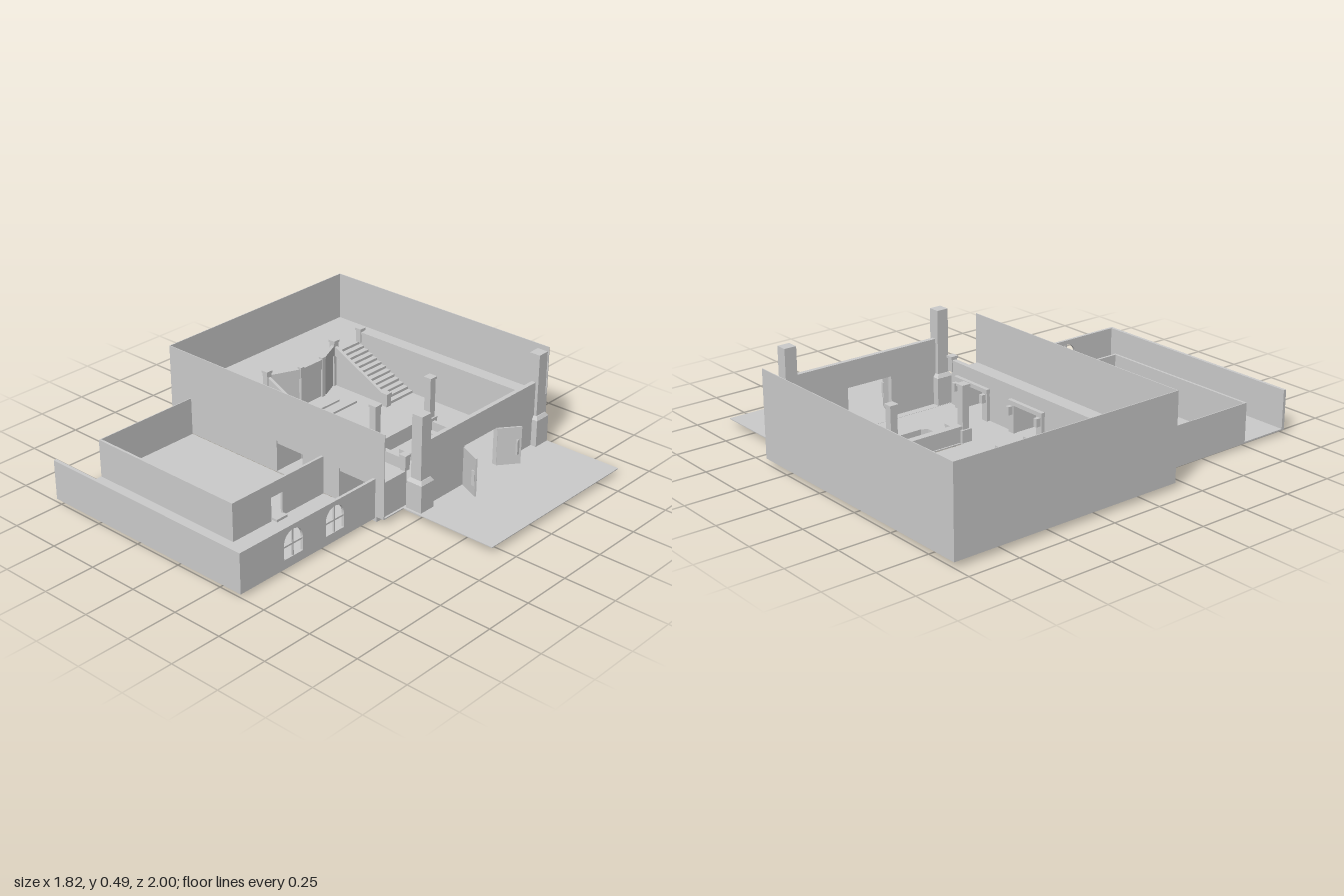
import * as THREE from 'three';

const mat = new THREE.MeshStandardMaterial({ color: 0xcccccc, flatShading: true, side: THREE.DoubleSide });

export function createModel() {
  const root = new THREE.Group();
  const add = (name, geo) => {
    const m = new THREE.Mesh(geo, mat);
    m.name = name;
    root.add(m);
    return m;
  };
  // Box given by its limits on each axis
  const box = (name, x0, x1, y0, y1, z0, z1) => {
    const m = add(name, new THREE.BoxGeometry(x1 - x0, y1 - y0, z1 - z0));
    m.position.set((x0 + x1) / 2, (y0 + y1) / 2, (z0 + z1) / 2);
    return m;
  };
  const poly = (pts, holes = []) => {
    const s = new THREE.Shape(pts.map(p => new THREE.Vector2(...p)));
    s.holes.push(...holes);
    return s;
  };
  const extrude = (shape, depth) => new THREE.ExtrudeGeometry(shape, { depth, bevelEnabled: false, curveSegments: 8 });
  // Slab drawn in plan as [x, z]
  const slab = (name, pts, y0, y1, holes = []) => {
    const flip = a => a.map(([x, z]) => [x, -z]);
    const g = extrude(poly(flip(pts), holes.map(h => poly(flip(h)))), y1 - y0);
    g.rotateX(-Math.PI / 2);
    add(name, g).position.y = y0;
  };
  // Wall facing z, drawn as [x, y]
  const wallZ = (name, shape, z0, z1) => { add(name, extrude(shape, z1 - z0)).position.z = z0; };
  // Wall facing x, drawn as [z, y]
  const wallX = (name, shape, x0, x1) => {
    const g = extrude(shape, x1 - x0);
    g.rotateY(-Math.PI / 2);
    add(name, g).position.x = x1;
  };
  // Wall outline with door notches cut up from the bottom
  const notched = (a0, a1, y0, y1, doors, top) => {
    const pts = [[a0, y0]];
    doors.forEach(([d0, d1]) => pts.push([d0, y0], [d0, top], [d1, top], [d1, y0]));
    pts.push([a1, y0], [a1, y1], [a0, y1]);
    return poly(pts);
  };
  // Upright panel between two plan points; its two ends may differ in height
  const panel = (name, [xa, za], [xb, zb], ya, yb, h, t = 0.016) => {
    const len = Math.hypot(xb - xa, zb - za);
    const g = extrude(poly([[0, ya], [len, yb], [len, yb + h], [0, ya + h]]), t);
    g.translate(0, 0, -t / 2);
    g.rotateY(-Math.atan2(zb - za, xb - xa));
    add(name, g).position.set(xa, 0, za);
  };
  const post = (name, x, z, y0, y1, w = 0.03) => {
    box(name, x - w / 2, x + w / 2, y0, y1, z - w / 2, z + w / 2);
    box(name + 'Cap', x - w * 0.62, x + w * 0.62, y1 - 0.012, y1, z - w * 0.62, z + w * 0.62);
  };

  // Hall floor and tall outer walls
  const F = 0.03, G = 0.2, CZ = -0.415;
  slab('hallFloor', [[-0.91, -1], [0.41, -1], [0.41, -0.84], [0.48, -0.84], [0.48, 0.02], [0.42, 0.02], [0.42, 0.18], [-0.91, 0.18]],
    0.025, F, [[[-0.015, -0.58], [-0.002, -0.58], [-0.002, -0.25], [-0.015, -0.25]]]);
  box('hallBackWall', -0.91, 0.41, 0.025, 0.44, -1, -0.996);
  box('hallSideWall', -0.91, -0.906, 0.025, 0.44, -1, 0.18);
  const doors = [[-0.22, -0.06], [0.16, 0.33]];
  wallZ('hallFrontWall', notched(-0.91, 0.42, 0.025, 0.44, doors, 0.185), 0.176, 0.18);
  box('forecourt', 0.42, 0.91, 0.027, 0.031, -0.88, 0.05);

  // Raised galleries and the landing between the stairs
  wallZ('frontGallery', notched(-0.63, 0.41, F, G, doors, 0.17), 0.02, 0.176);
  box('backGallery', -0.63, 0.41, F, G, -0.996, -0.84);
  const front = [[-0.63, -0.65], [-0.56, -0.49], [-0.56, -0.34], [-0.63, -0.18]];
  slab('landing', [[-0.906, -0.996], [-0.63, -0.996], ...front, [-0.63, 0.176], [-0.906, 0.176]], F, G);
  for (let i = 0; i < 3; i++) panel('landingParapet', front[i], front[i + 1], G, G, 0.05);
  front.slice(1, 3).forEach(([x, z]) => post('landingPost', x, z, F, 0.26, 0.02));
  box('lowerStep', -0.57, -0.41, F, 0.04, CZ - 0.16, CZ + 0.16);
  box('upperStep', -0.57, -0.47, F, 0.05, CZ - 0.1, CZ + 0.1);

  // Parapets, staircases and posts, mirrored about the hall's middle
  for (const s of [-1, 1]) {
    const zo = CZ + s * 0.43, zi = CZ + s * 0.235;
    box('galleryParapet', -0.63, 0.4, G, 0.25, zo - 0.008, zo + 0.008);
    box('galleryHandrail', -0.63, 0.4, 0.245, 0.257, zo - 0.012, zo + 0.012);
    post('galleryPost', -0.63, zo, G, 0.275);
    post('galleryPost', 0.395, zo, G, 0.275);
    post('stairTopPost', -0.63, zi, F, 0.275);
    post('stairFootPost', -0.285, zi, F, 0.1);
    panel('stairRail', [-0.63, zi], [-0.285, zi], G, F, 0.05);
    const n = 12, run = 0.35 / n, pts = [[-0.63, F], [-0.63, G]];
    for (let i = 0; i < n; i++) {
      const y = G - (i + 1) * (G - F) / (n + 1);
      pts.push([-0.63 + i * run, y], [-0.63 + (i + 1) * run, y]);
    }
    pts.push([-0.28, F]);
    wallZ('staircase', poly(pts), Math.min(zo, zi), Math.max(zo, zi));
  }

  // Door surrounds on the front gallery
  doors.forEach(([a, b]) => {
    for (const x of [a - 0.015, b + 0.015]) {
      box('doorPilaster', x - 0.018, x + 0.018, F, 0.17, 0.003, 0.02);
      box('doorBracket', x - 0.01, x + 0.01, 0.12, 0.16, -0.02, 0.003);
    }
    box('doorLintel', a - 0.035, b + 0.035, 0.165, 0.185, 0, 0.02);
  });

  // Passage threshold below the second doorway
  box('passageStep', 0.12, 0.38, 0, 0.028, 0.02, 0.18);

  // Central screen with tall posts and side arms
  box('screenWall', 0.005, 0.03, F, 0.1, -0.6, -0.23);
  box('screenCap', 0, 0.035, 0.095, 0.108, -0.6, -0.23);
  for (const s of [-1, 1]) {
    const z = CZ + s * 0.195;
    post('screenPost', 0.017, z, F, 0.3, 0.036);
    box('screenBase', -0.01, 0.044, F, 0.09, z - 0.027, z + 0.027);
    box('screenArm', 0.04, 0.14, F, 0.075, z - 0.01, z + 0.01);
  }
  // Curved bench
  slab('bench', [[0.1, -0.535], [0.16, -0.535], [0.185, -0.5], [0.185, -0.33], [0.16, -0.295], [0.1, -0.295],
    [0.1, -0.318], [0.145, -0.32], [0.163, -0.345], [0.163, -0.485], [0.145, -0.51], [0.1, -0.512]], F, 0.07);

  // Entrance wall, open double doors and gate pillars
  wallX('entranceWall', notched(-0.83, 0, F, 0.35, [[-0.53, -0.29]], 0.225), 0.458, 0.48);
  [[[0.48, -0.53], [0.55, -0.62]], [[0.48, -0.29], [0.59, -0.24]]].forEach(([a, b]) => {
    panel('entranceDoor', a, b, F, F, 0.19, 0.008);
    const k = 0.85;
    const x = a[0] + (b[0] - a[0]) * k, z = a[1] + (b[1] - a[1]) * k;
    box('doorHandle', x - 0.008, x + 0.008, 0.08, 0.155, z - 0.01, z + 0.01);
  });
  for (const z of [-0.835, -0.005]) {
    const pillar = add('gatePillar', new THREE.BoxGeometry(0.056, 0.32, 0.06));
    pillar.position.set(0.467, 0.33, z);
    box('pillarBase', 0.424, 0.51, 0.015, 0.165, z - 0.043, z + 0.043);
    const taper = new THREE.CylinderGeometry(0.045, 0.061, 0.017, 4);
    taper.rotateY(Math.PI / 4);
    add('pillarShoulder', taper).position.set(0.467, 0.173, z);
  }

  // Annex floor and walls, with the corridor end left open
  const A = 0.02, T = 0.21;
  box('annexFloor', -0.78, 0.37, 0.016, 0.023, 0.18, 1);
  box('annexFrontWall', -0.78, 0.37, A, T, 0.985, 1);
  box('annexSideWall', -0.78, -0.776, A, T, 0.18, 0.74);
  box('roomFrontWall', -0.78, 0.066, A, T, 0.73, 0.742);
  wallX('roomDoorWall', notched(0.18, 0.74, A, T, [[0.44, 0.51]], 0.14), 0.054, 0.066);
  panel('roomDoor', [0.054, 0.5], [-0.005, 0.52], A, A, 0.12, 0.005);
  box('doorStep', 0.06, 0.09, A, 0.035, 0.435, 0.5);

  // Arched windows with crossing bars
  const windows = [0.69, 0.437];
  const arches = windows.map(z => {
    const p = new THREE.Path();
    p.moveTo(z - 0.056, 0.06);
    p.lineTo(z + 0.056, 0.06);
    p.lineTo(z + 0.056, 0.132);
    p.absarc(z, 0.132, 0.056, 0, Math.PI, false);
    p.closePath();
    return p;
  });
  wallX('windowWall', poly([[0.18, A], [1, A], [1, T], [0.18, T]], arches), 0.356, 0.37);
  windows.forEach(z => {
    box('windowUpright', 0.36, 0.367, 0.06, 0.188, z - 0.004, z + 0.004);
    box('windowCrossbar', 0.36, 0.367, 0.114, 0.122, z - 0.056, z + 0.056);
  });
  return root;
}
